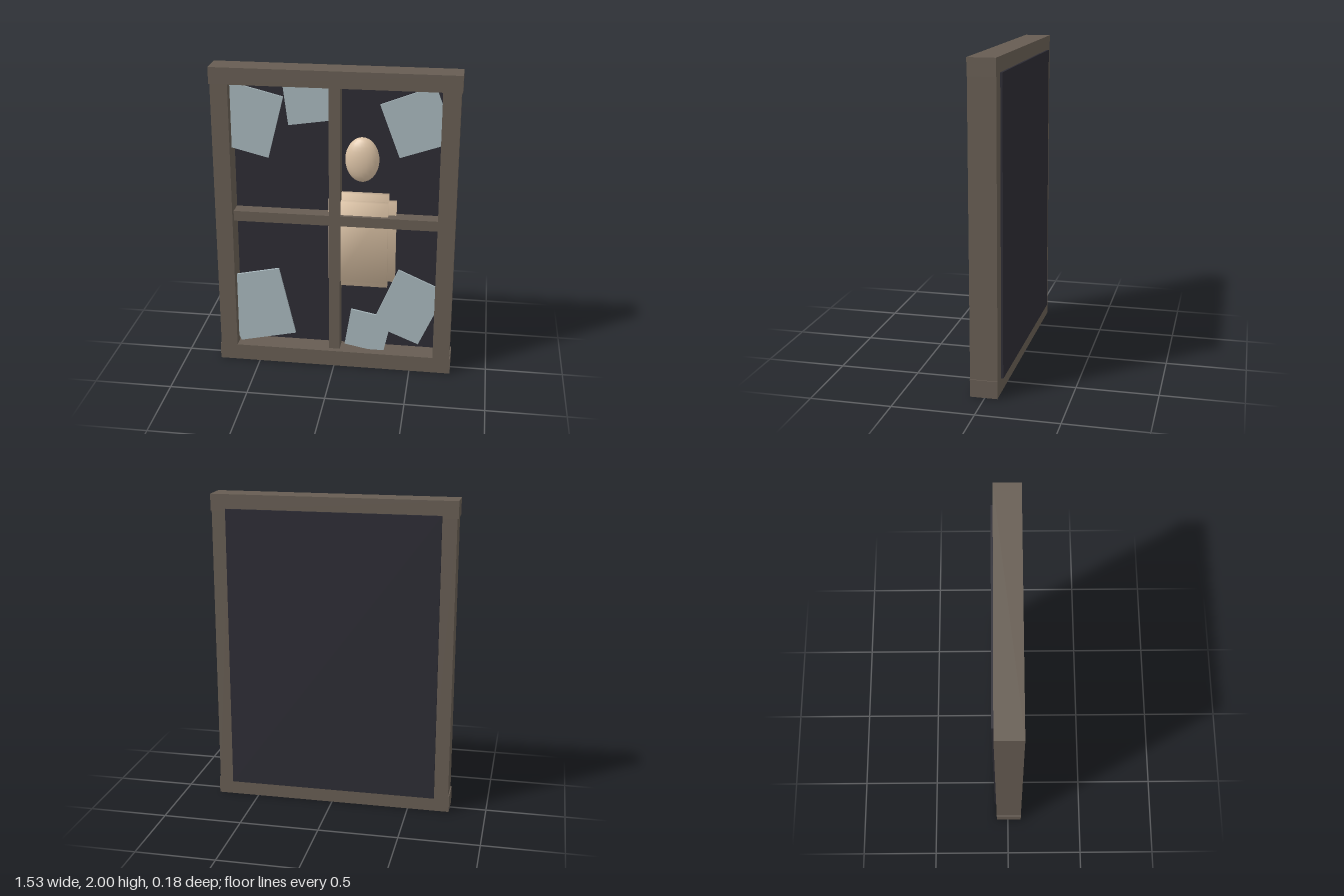
import * as THREE from 'three';

export function createModel() {
  const root = new THREE.Group();
  root.name = 'window';

  const material = (name, color) => {
    const m = new THREE.MeshStandardMaterial({ color });
    m.name = name;
    return m;
  };
  const wood = material('weathered wood', 0x665c52);
  const dark = material('dark backing', 0x2c2b33);
  const glass = material('broken glass', 0xa6b5ba);
  const skin = material('pale skin', 0xdcc3a6);

  const add = (name, geometry, mat) => {
    const mesh = new THREE.Mesh(geometry, mat);
    mesh.name = name;
    root.add(mesh);
    return mesh;
  };
  // Box given by its extents on each axis
  const box = (name, mat, [x0, x1], [y0, y1], [z0, z1]) => {
    const mesh = add(name, new THREE.BoxGeometry(x1 - x0, y1 - y0, z1 - z0), mat);
    mesh.position.set((x0 + x1) / 2, (y0 + y1) / 2, (z0 + z1) / 2);
    return mesh;
  };

  // Outer frame: rails overlap the slightly narrower stiles
  const depth = [-0.077, 0.09];
  box('bottomRail', wood, [-0.767, 0.767], [0, 0.108], depth);
  box('topRail', wood, [-0.767, 0.767], [1.895, 2], depth);
  box('leftStile', wood, [0.651, 0.76], [0.108, 1.895], depth);
  box('rightStile', wood, [-0.76, -0.651], [0.108, 1.895], depth);

  // Crossing glazing bars, set back from the frame face
  box('verticalBar', wood, [-0.036, 0.034], [0.1, 1.9], [-0.045, 0.053]);
  box('horizontalBar', wood, [-0.655, 0.655], [0.99, 1.057], [-0.045, 0.05]);

  // Dark panel closing the back
  box('backPanel', dark, [-0.67, 0.67], [0.09, 1.91], [-0.09, -0.05]);

  // Glass shards left in the panes
  const shards = [
    [[-0.66, 1.9], [-0.66, 1.48], [-0.42, 1.42], [-0.32, 1.815]],
    [[-0.32, 1.876], [-0.29, 1.638], [0, 1.682], [0, 1.9], [-0.15, 1.9]],
    [[0.275, 1.79], [0.4, 1.457], [0.655, 1.545], [0.655, 1.79], [0.614, 1.9], [0.56, 1.9]],
    [[-0.655, 0.6], [-0.655, 0.16], [-0.635, 0.113], [-0.265, 0.195], [-0.37, 0.66]],
    [[0.41, 0.7], [0.27, 0.365], [0.355, 0.25], [0.55, 0.17], [0.655, 0.41], [0.655, 0.592]],
    [[0.106, 0.397], [0.064, 0.138], [0.22, 0.108], [0.325, 0.108], [0.355, 0.25], [0.27, 0.365]],
  ];
  shards.forEach((points, i) => {
    const shape = new THREE.Shape(points.map(([x, y]) => new THREE.Vector2(x, y)));
    const geometry = new THREE.ExtrudeGeometry(shape, { depth: 0.014, bevelEnabled: false });
    add('glassShard' + (i + 1), geometry, glass).position.z = 0.018;
  });

  // Figure behind the glass: oval head
  const head = add('head', new THREE.SphereGeometry(1, 20, 14), skin);
  head.scale.set(0.107, 0.145, 0.062);
  head.position.set(0.165, 1.42, -0.015);

  // Torso: three crossed blocks with softened normals
  const soften = (mesh) => {
    const { position, normal } = mesh.geometry.attributes;
    const n = new THREE.Vector3();
    for (let i = 0; i < position.count; i++) {
      n.fromBufferAttribute(position, i);
      n.set(Math.sign(n.x), Math.sign(n.y), Math.sign(n.z)).normalize();
      normal.setXYZ(i, n.x, n.y, n.z);
    }
  };
  soften(box('torsoCore', skin, [0.0, 0.335], [0.593, 1.145], [-0.06, 0.025]));
  soften(box('torsoSides', skin, [-0.048, 0.384], [0.593, 1.145], [-0.06, -0.012]));
  soften(box('torsoEnds', skin, [0.0, 0.335], [0.548, 1.19], [-0.06, -0.012]));

  return root;
}
